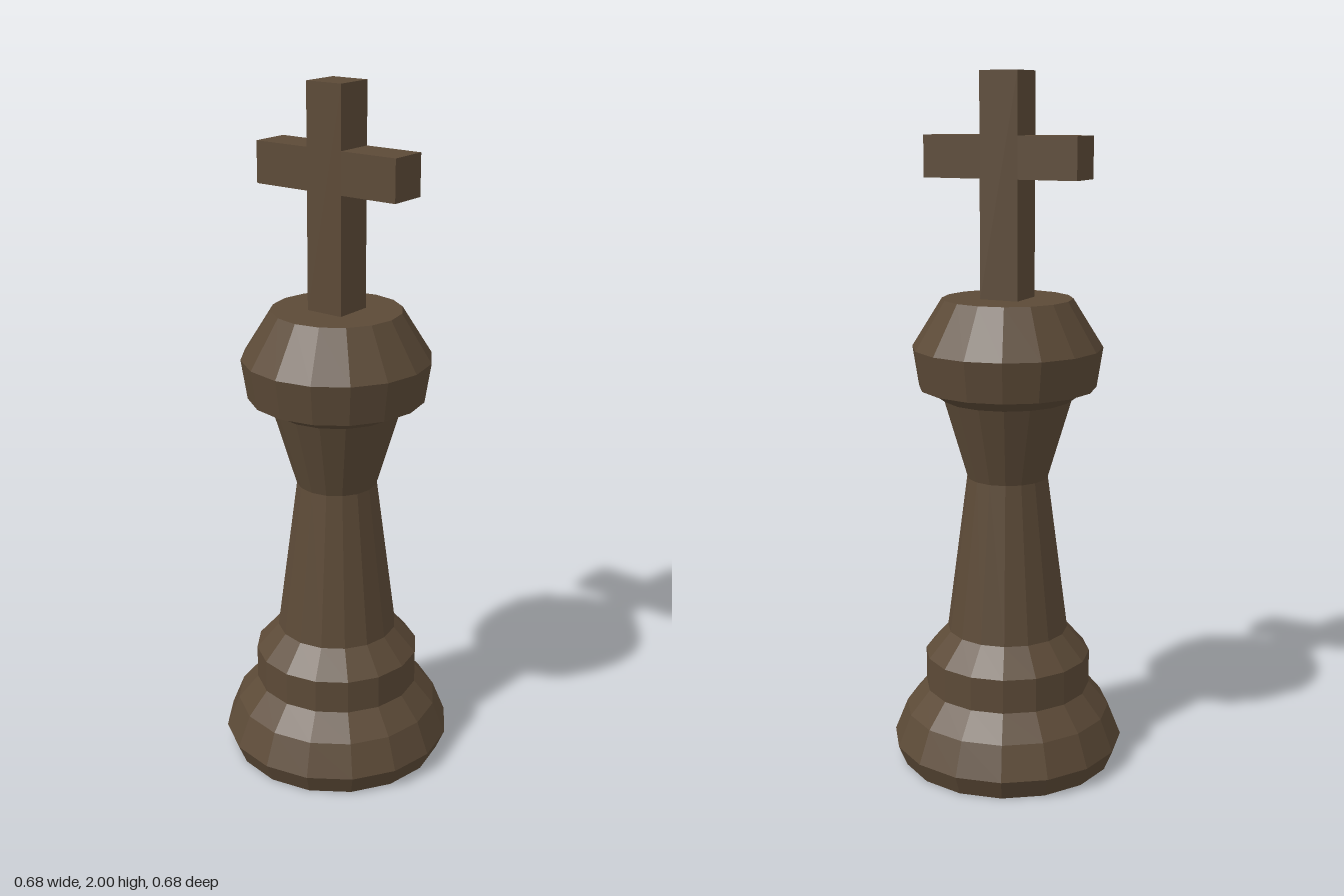
import * as THREE from 'three';

const SIDES = 16;

export function createModel() {
  const model = new THREE.Group();
  model.name = 'chessPiece';

  const darkWood = new THREE.MeshStandardMaterial({ color: 0x5c4a37, flatShading: true });
  darkWood.name = 'darkWood';

  function add(name, geometry, x = 0, y = 0, z = 0) {
    const mesh = new THREE.Mesh(geometry, darkWood);
    mesh.name = name;
    mesh.position.set(x, y, z);
    model.add(mesh);
  }

  // Faceted turned part from [radius, height] pairs, bottom to top
  function turned(name, profile) {
    add(name, new THREE.LatheGeometry(profile.map(([r, y]) => new THREE.Vector2(r, y)), SIDES));
  }

  // Foot with a bevelled rim, and the straight ring above it
  turned('base', [[0, 0], [0.315, 0], [0.34, 0.06], [0.302, 0.155], [0.243, 0.225]]);
  turned('baseRing', [[0.243, 0.225], [0.243, 0.325], [0.177, 0.4]]);

  // Tapered stem with a narrow waist, flaring under the head
  turned('stem', [[0.177, 0.4], [0.117, 0.86], [0.185, 1.09], [0.234, 1.125]]);

  // Head with a small ledge below and a flat top
  turned('head', [[0.234, 1.125], [0.254, 1.125], [0.272, 1.24], [0.186, 1.378], [0, 1.378]]);

  // Cross: upright and two arms
  add('crossUpright', new THREE.BoxGeometry(0.115, 0.622, 0.115), 0, 1.689, 0);
  for (const side of [-1, 1]) {
    add(side > 0 ? 'leftCrossArm' : 'rightCrossArm',
      new THREE.BoxGeometry(0.175, 0.117, 0.115), side * 0.145, 1.769, 0);
  }

  return model;
}
